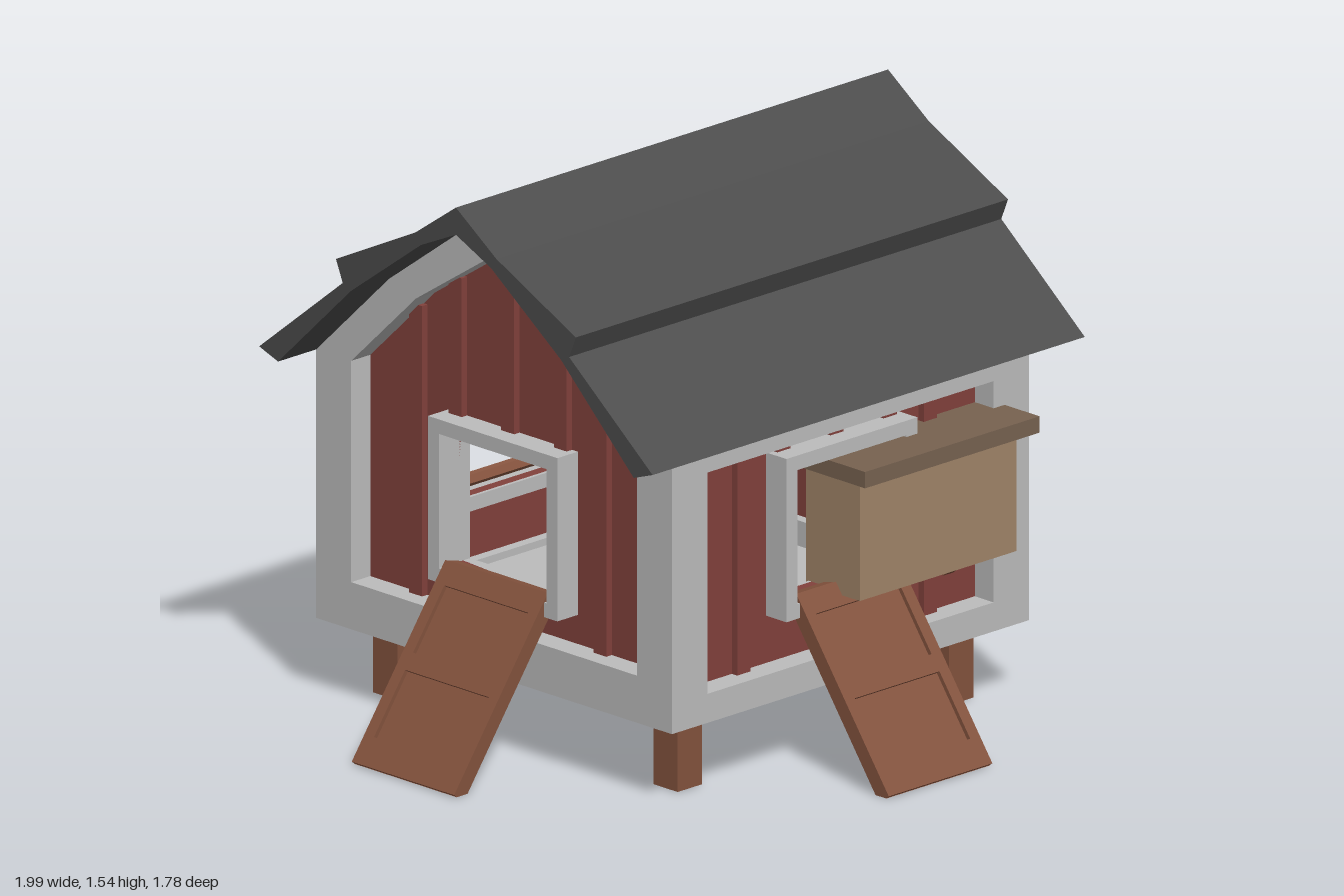
import * as THREE from 'three';

const mat = (name, color) => {
  const m = new THREE.MeshStandardMaterial({ color });
  m.name = name;
  return m;
};
const TRIM = mat('light grey trim', 0xbcbcbc);
const ROOF = mat('charcoal roof', 0x4c4c4c);
const RED = mat('barn red', 0x82413c);
const WOOD = mat('ramp wood', 0x83523d);
const TAN = mat('nest box wood', 0xa08468);
const LID = mat('lid wood', 0x776250);
const DARK = mat('dark wood', 0x4a3a30);

const CZ = -0.105; // centre of the house body in z

function add(parent, name, geo, material) {
  const m = new THREE.Mesh(geo, material);
  m.name = name;
  parent.add(m);
  return m;
}
// Box given by its min and max corners
function box(parent, name, material, x0, x1, y0, y1, z0, z1) {
  const g = new THREE.BoxGeometry(x1 - x0, y1 - y0, z1 - z0);
  g.translate((x0 + x1) / 2, (y0 + y1) / 2, (z0 + z1) / 2);
  return add(parent, name, g, material);
}
const vecs = (pts) => pts.map(([x, y]) => new THREE.Vector2(x, y));
const rect = (x0, x1, y0, y1) => [[x0, y0], [x1, y0], [x1, y1], [x0, y1]];
// Mirror a right-hand half outline (bottom to top) into a full one
const mirror = (half) => [...half, ...half.filter((p) => p[0] > 0).reverse().map(([x, y]) => [-x, y])];
// Extruded outline with holes, between z0 and z1
function slab(outer, holes, z0, z1) {
  const s = new THREE.Shape(vecs(outer));
  holes.forEach((h) => s.holes.push(new THREE.Path(vecs(h))));
  const g = new THREE.ExtrudeGeometry(s, { depth: z1 - z0, bevelEnabled: false });
  return g.translate(0, 0, z0);
}

const GABLE_OUT = mirror([[0.66, 0.21], [0.66, 0.95], [0.39, 1.21], [0.13, 1.4], [0, 1.46]]);
const GABLE_IN = mirror([[0.53, 0.34], [0.53, 0.95], [0.29, 1.18], [0, 1.37]]);
const GABLE_WALL = mirror([[0.58, 0.25], [0.58, 0.96], [0.32, 1.22], [0, 1.42]]);
const gableTop = (x) => (x < 0.29 ? 1.37 - 0.655 * x : 1.18 - 0.958 * (x - 0.29));
const DOOR = rect(-0.2, 0.2, 0.46, 0.83);

// Sloping ramp with two sunken panels, leaning on a wall at distance d
function ramp(parent, d) {
  const g = new THREE.Group();
  g.name = 'ramp';
  g.position.z = d;
  parent.add(g);
  const base = slab([[0.325, 0], [-0.007, 0.46], [-0.02, 0.478], [-0.054, 0.47], [0.285, 0]], [], -0.19, 0.19);
  base.rotateY(-Math.PI / 2);
  add(g, 'rampBoard', base, WOOD).material.side = THREE.DoubleSide;
  const rails = slab(rect(-0.19, 0.19, 0.01, 0.595),
    [rect(-0.155, 0.155, 0.09, 0.285), rect(-0.155, 0.155, 0.335, 0.53)], -0.014, 0);
  rails.rotateX(-0.626);
  rails.translate(0, 0, 0.34);
  add(g, 'rampRails', rails, WOOD);
}

// One side of the house, built facing +z and then turned
function face(root, name, angle, gable, d, door) {
  const g = new THREE.Group();
  g.name = name;
  g.rotation.y = angle;
  g.position.z = CZ;
  root.add(g);
  const outer = gable ? GABLE_OUT : rect(-0.655, 0.655, 0.21, 0.95);
  const inner = gable ? GABLE_IN : rect(-0.525, 0.525, 0.29, 0.9);
  const wall = gable ? GABLE_WALL : rect(-0.58, 0.58, 0.25, 0.93);
  add(g, 'trim', slab(outer, [inner], d - 0.13, d), TRIM);
  add(g, 'wall', slab(wall, door ? [DOOR] : [], d - 0.1, d - 0.07), RED);
  // battens
  for (const x of [-0.342, -0.195, 0, 0.195, 0.342]) {
    const top = gable ? gableTop(Math.abs(x)) + 0.01 : 0.91;
    const bottom = door && Math.abs(x) < 0.23 ? 0.85 : 0.28;
    box(g, 'batten', RED, x - 0.024, x + 0.024, bottom, top, d - 0.08, d - 0.05);
  }
  if (door) {
    add(g, 'doorFrame', slab(rect(-0.24, 0.24, 0.42, 0.87), [DOOR], d - 0.11, d + 0.005), TRIM);
    ramp(g, d);
  }
  return g;
}

export function createModel() {
  const root = new THREE.Group();
  root.name = 'chickenCoop';

  face(root, 'frontWall', 0, true, 0.655, true);
  face(root, 'leftWall', Math.PI / 2, false, 0.66, true);
  face(root, 'rightWall', -Math.PI / 2, false, 0.66, true);
  const back = face(root, 'backWall', Math.PI, true, 0.655, false);

  // gable vent with slots
  const slots = [-0.14, -0.07, 0, 0.07, 0.14].map((x) => rect(x - 0.02, x + 0.02, 1.165, 1.245));
  add(back, 'ventFrame', slab(rect(-0.19, 0.19, 1.14, 1.27), slots, 0.57, 0.625), TAN);
  box(back, 'ventBacking', DARK, -0.18, 0.18, 1.15, 1.26, 0.58, 0.608);

  // floor
  box(root, 'floor', TRIM, -0.6, 0.6, 0.21, 0.27, CZ - 0.6, CZ + 0.6);

  // legs
  for (const x of [-0.52, 0.52]) {
    for (const z of [0.39, -0.605]) {
      box(root, 'leg', WOOD, x - 0.045, x + 0.045, 0, 0.22, z - 0.045, z + 0.045);
    }
  }

  // roof with overlapping upper and lower slopes
  const top = mirror([[0.73, 0.975], [0.42, 1.225], [0.445, 1.285], [0.15, 1.43], [0, 1.535]]);
  const under = [[-0.66, 0.95], [-0.39, 1.21], [-0.13, 1.4], [0, 1.46], [0.13, 1.4], [0.39, 1.21], [0.66, 0.95]];
  add(root, 'roof', slab([...top, ...under], [], -0.895, 0.69), ROOF);

  // nest box with lid and slanted braces
  box(root, 'nestBox', TAN, 0.54, 0.74, 0.45, 0.785, -0.635, -0.06);
  box(root, 'nestBoxLid', LID, 0.54, 0.79, 0.78, 0.825, -0.67, -0.03);
  for (const z of [-0.16, -0.53]) {
    const b = add(root, 'nestBoxBrace', new THREE.BoxGeometry(0.2, 0.03, 0.036), WOOD);
    b.position.set(0.63, 0.42, z);
    b.rotation.z = 0.6;
  }

  // inner post
  box(root, 'innerPost', WOOD, 0.3, 0.33, 0.25, 1.1, 0.04, 0.068);

  return root;
}
